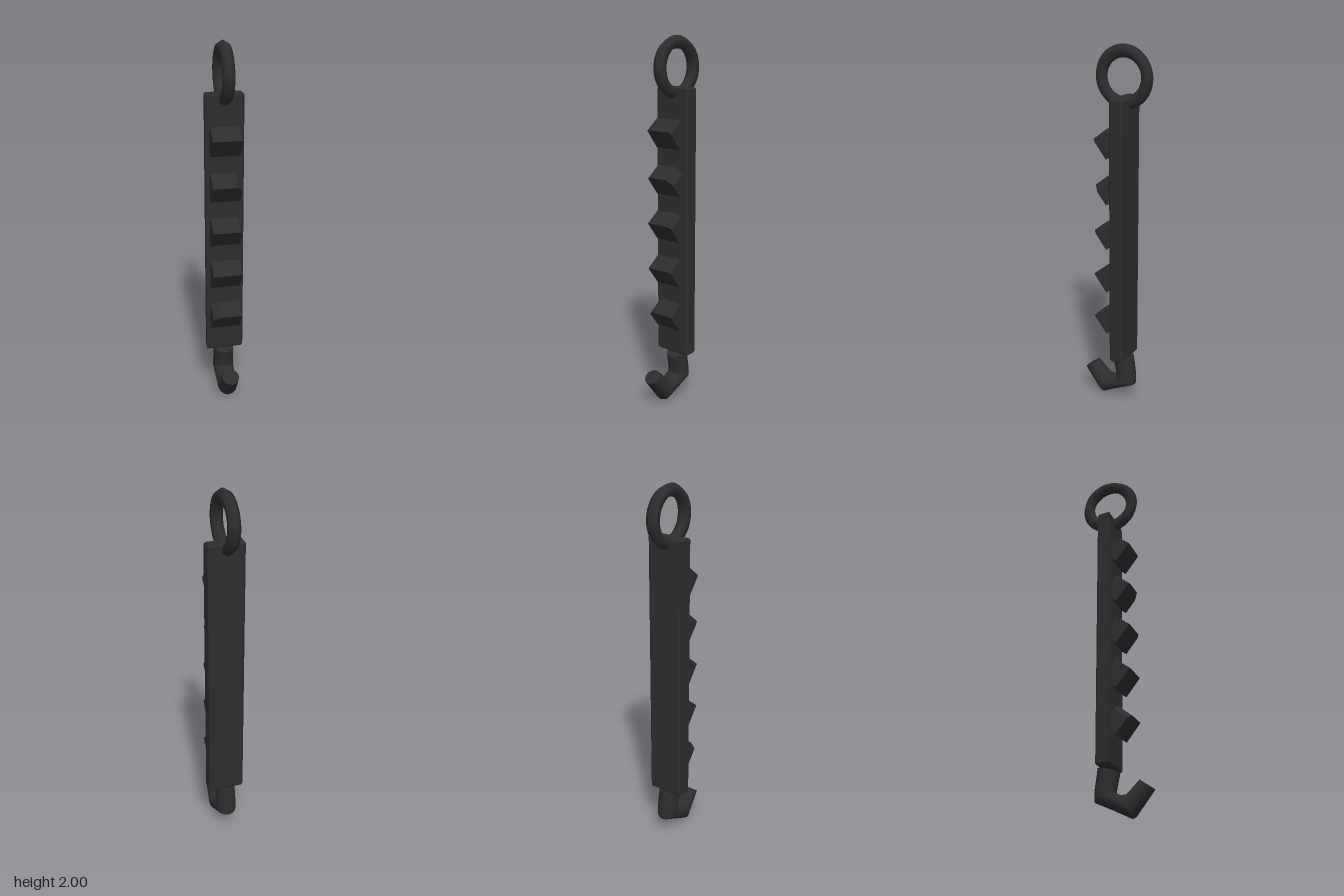
import * as THREE from 'three';
import { toCreasedNormals } from 'three/addons/utils/BufferGeometryUtils.js';

const iron = new THREE.MeshStandardMaterial({ color: 0x2d2d2d });
iron.name = 'dark iron';

function part(name, geometry, crease = 0.6) {
  const mesh = new THREE.Mesh(toCreasedNormals(geometry, crease), iron);
  mesh.name = name;
  return mesh;
}

function outline(points) {
  return new THREE.Shape(points.map(([x, y]) => new THREE.Vector2(x, y)));
}

// Loft through oval sections given as inner (z, y), outer (z, y) and half width in x
function loft(sections, sides) {
  const positions = [], index = [];
  for (const [zi, yi, zo, yo, w] of sections) {
    for (let j = 0; j < sides; j++) {
      const a = (j / sides) * Math.PI * 2, c = Math.cos(a) / 2;
      positions.push(w * Math.sin(a), (yi + yo) / 2 + (yo - yi) * c, (zi + zo) / 2 + (zo - zi) * c);
    }
  }
  const last = sections.length - 1, base = last * sides;
  for (let i = 0; i < last; i++) {
    for (let j = 0; j < sides; j++) {
      const a = i * sides + j, b = i * sides + (j + 1) % sides;
      index.push(a, b, b + sides, a, b + sides, a + sides);
    }
  }
  // End caps
  for (let j = 1; j < sides - 1; j++) {
    index.push(0, j + 1, j, base, base + j, base + j + 1);
  }
  const geometry = new THREE.BufferGeometry();
  geometry.setAttribute('position', new THREE.Float32BufferAttribute(positions, 3));
  geometry.setIndex(index);
  return geometry;
}

export function createModel() {
  const model = new THREE.Group();
  model.name = 'toothedHookBar';

  // Hanging ring with a six-sided section
  const ring = part('ring', new THREE.TorusGeometry(0.131, 0.034, 6, 48), 1.2);
  ring.rotation.y = Math.PI / 2;
  ring.position.set(0, 1.835, -0.035);
  model.add(ring);

  // Flat bar with slightly worn edges
  const barShape = outline([
    [-0.105, 0.0], [0.095, 0.0], [0.105, 0.012], [0.103, 0.07],
    [0.095, 0.077], [-0.088, 0.077], [-0.098, 0.068],
  ]);
  const barGeometry = new THREE.ExtrudeGeometry(barShape, {
    depth: 1.454, bevelEnabled: true, bevelThickness: 0.008,
    bevelSize: 0.006, bevelOffset: -0.006, bevelSegments: 1,
  });
  barGeometry.rotateX(-Math.PI / 2);
  const bar = part('bar', barGeometry);
  bar.position.y = 0.273;
  model.add(bar);

  // Tilted block teeth; each has its own worn upper corners [left end, right end in x]
  const wear = [[0.018, 0.03], [0.008, 0.004], [0.004, 0.018], [0.012, 0.04], [0.004, 0.012]];
  wear[0] = [0.035, 0.005];
  const teeth = new THREE.Group();
  teeth.name = 'teeth';
  wear.forEach(([l, r], i) => {
    const w = 0.08, h = 0.0625, d = 0.097;
    const shape = outline([
      [-w, -h], [w, -h], [w, h - r], [w - r * 0.7, h], [-w + l, h], [-w, h - l * 0.7],
    ]);
    const geometry = new THREE.ExtrudeGeometry(shape, { depth: d, bevelEnabled: false });
    geometry.translate(0, 0, -d / 2);
    const tooth = part('tooth', geometry);
    tooth.rotation.x = 0.66;
    tooth.position.set(-0.002, 0.495 + i * 0.25, 0.03);
    teeth.add(tooth);
  });
  model.add(teeth);

  // Bent hook at the foot
  model.add(part('hook', loft([
    [0.02, 0.24, -0.095, 0.268, 0.056],
    [0.002, 0.155, -0.11, 0.155, 0.058],
    [0.0, 0.14, -0.11, 0.097, 0.058],
    [0.032, 0.122, -0.01, 0.051, 0.056],
    [0.06, 0.127, 0.085, 0.004, 0.056],
    [0.07, 0.135, 0.1, 0.01, 0.055],
    [0.127, 0.192, 0.203, 0.14, 0.047],
  ], 14), 0.8));

  return model;
}
